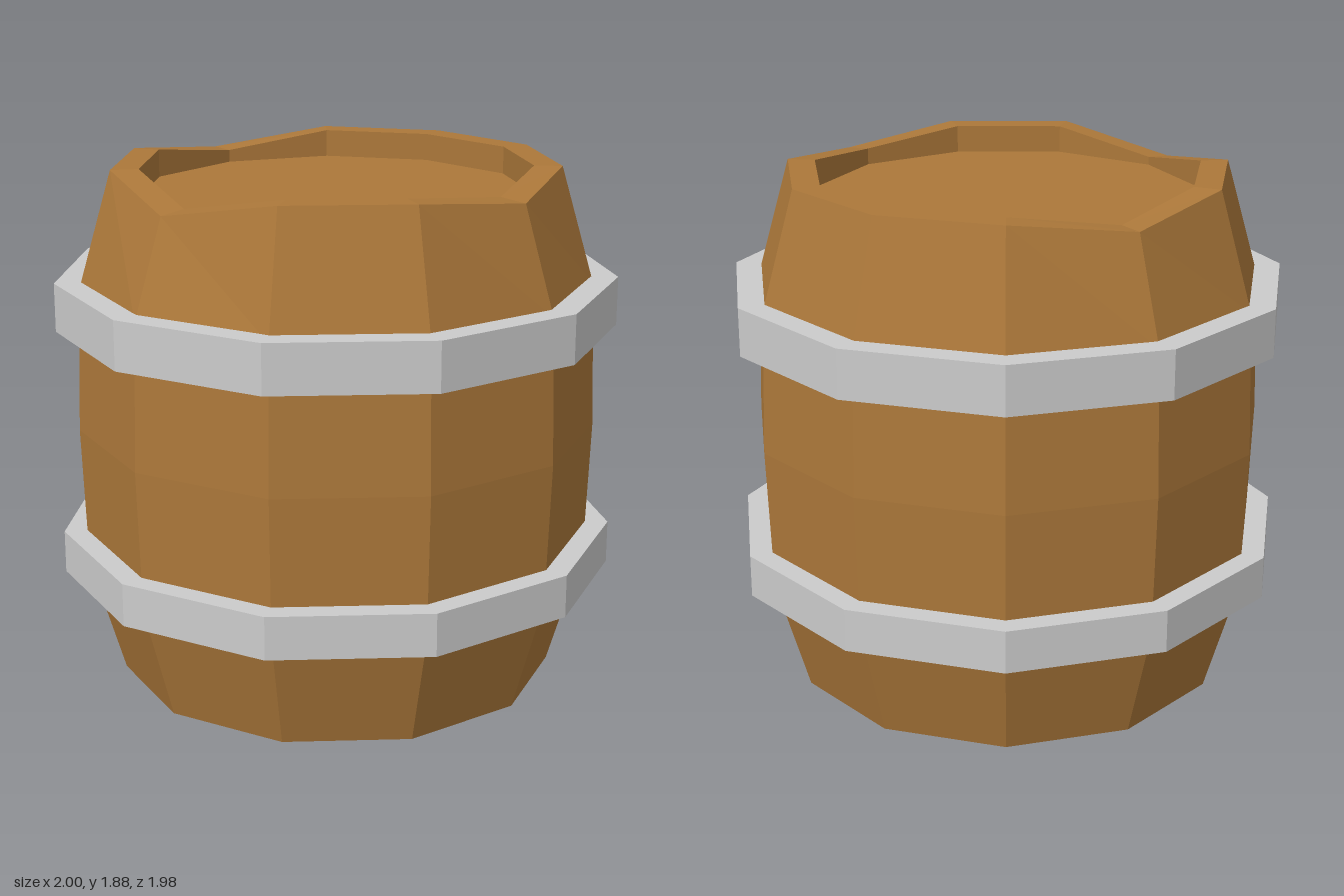
import * as THREE from 'three';

const SIDES = 11;
const wood = new THREE.MeshStandardMaterial({ color: 0xac783a, flatShading: true });
const metal = new THREE.MeshStandardMaterial({ color: 0xcccccc, flatShading: true });

// Eleven-sided turned shape with one corner pointing straight back
function turned(name, profile, material) {
  const points = profile.map(([r, y]) => new THREE.Vector2(r, y));
  const mesh = new THREE.Mesh(new THREE.LatheGeometry(points, SIDES, Math.PI), material);
  mesh.name = name;
  return mesh;
}

export function createModel() {
  const group = new THREE.Group();
  group.name = 'barrel';

  // Bulging staves with recessed heads at both ends
  const profile = [
    [0, 0.09], [0.7, 0.09], [0.7, 0], [0.8, 0],
    [0.922, 0.42], [0.94, 0.94], [0.922, 1.46],
    [0.8, 1.88], [0.7, 1.88], [0.7, 1.78], [0, 1.78],
  ];
  const body = turned('body', profile, wood);

  // Worn dips in the top rim: [corner, depth at outer edge, depth at inner edge]
  const position = body.geometry.attributes.position;
  for (const [corner, outer, inner] of [[1, 0.055, 0.055], [4, 0.08, 0.07], [7, 0.05, 0.04]]) {
    const first = corner * profile.length;
    position.setY(first + 7, 1.88 - outer);
    position.setY(first + 8, 1.88 - inner);
  }
  group.add(body);

  // Metal hoops
  for (const [name, low, high] of [['lowerHoop', 0.4, 0.555], ['upperHoop', 1.31, 1.485]]) {
    group.add(turned(name, [[0.89, low], [1.01, low], [1.01, high], [0.89, high], [0.89, low]], metal));
  }

  // Centre the odd-sided outline from front to back
  for (const part of group.children) part.position.z = 0.02;
  return group;
}
